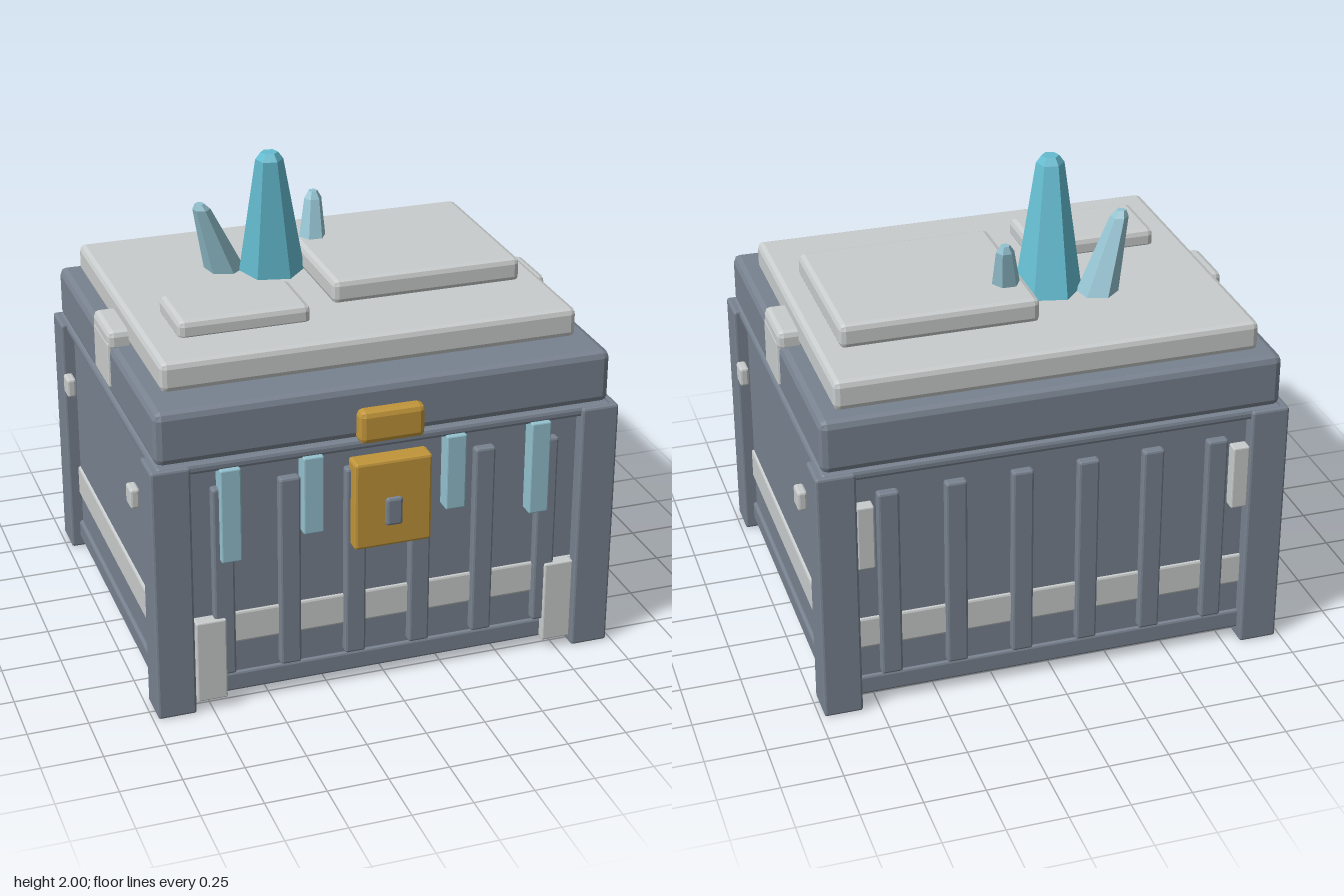
import * as THREE from 'three';
import { RoundedBoxGeometry } from 'three/addons/geometries/RoundedBoxGeometry.js';

const material = (name, color) => {
  const m = new THREE.MeshStandardMaterial({ color, flatShading: true });
  m.name = name;
  return m;
};

export function createModel() {
  const stone = material('slate grey', 0x78828f);
  const snow = material('snow grey', 0xc9cccc);
  const gold = material('gold', 0xc0953a);
  const crystal = material('bright crystal blue', 0x64bcd0);
  const ice = material('pale ice blue', 0x93c1cf);

  const model = new THREE.Group();
  model.name = 'frozenChest';

  // Chamfered box given by its [min, max] extents
  const box = (name, mat, [x0, x1], [y0, y1], [z0, z1], bevel = 0.01) => {
    const geometry = new RoundedBoxGeometry(x1 - x0, y1 - y0, z1 - z0, 1, bevel);
    geometry.computeVertexNormals();
    const mesh = new THREE.Mesh(geometry, mat);
    mesh.position.set((x0 + x1) / 2, (y0 + y1) / 2, (z0 + z1) / 2);
    mesh.name = name;
    model.add(mesh);
    return mesh;
  };
  const span = (c, size) => [c - size / 2, c + size / 2];

  // Faceted shard lofted through rings of [x, y, z, radius]
  const shard = (name, mat, rings, turn = 0, sides = 6) => {
    const positions = [], index = [];
    for (const [x, y, z, r] of rings) {
      for (let i = 0; i < sides; i++) {
        const a = turn + (i / sides) * Math.PI * 2;
        positions.push(x + Math.sin(a) * r, y, z + Math.cos(a) * r);
      }
    }
    for (let k = 0; k < rings.length - 1; k++) {
      for (let i = 0; i < sides; i++) {
        const j = (i + 1) % sides;
        const a = k * sides + i, b = k * sides + j;
        index.push(a, b, b + sides, a, b + sides, a + sides);
      }
    }
    const top = (rings.length - 1) * sides;
    for (let i = 1; i < sides - 1; i++) {
      index.push(top, top + i, top + i + 1);
      index.push(0, i + 1, i);
    }
    let geometry = new THREE.BufferGeometry();
    geometry.setAttribute('position', new THREE.Float32BufferAttribute(positions, 3));
    geometry.setIndex(index);
    geometry = geometry.toNonIndexed();
    geometry.computeVertexNormals();
    const mesh = new THREE.Mesh(geometry, mat);
    mesh.name = name;
    model.add(mesh);
  };

  // Chest walls, base frame, frost band and top rim
  box('chestBody', stone, [-0.925, 0.925], [0.05, 1.09], [-0.8, 0.76]);
  box('baseFrame', stone, [-0.94, 0.94], [0.045, 0.13], [-0.815, 0.775]);
  box('frostBand', snow, [-0.935, 0.935], [0.265, 0.405], [-0.81, 0.77]);
  box('topRim', stone, [-0.955, 0.955], [1.06, 1.105], [-0.845, 0.805], 0.015);

  // Corner posts, mirrored frost patches and side studs
  for (const s of [-1, 1]) {
    for (const z of [-0.78, 0.74]) box('cornerPost', stone, span(s * 0.9, 0.16), [0, 1.1], span(z, 0.16));
    box('frontFrostPatch', snow, span(s * 0.75, 0.125), [0.045, 0.405], [0.75, 0.812], 0.006);
    box('backFrostPatch', snow, span(s * 0.785, 0.07), [0.66, 0.94], [-0.85, -0.79], 0.006);
    for (const z of [-0.575, 0.525]) box('sideStud', snow, span(s * 0.98, 0.04), [0.825, 0.91], span(z, 0.08));
  }

  // Vertical slats on front and back
  for (let i = 0; i < 6; i++) {
    const x = span((i - 2.5) * 0.275, 0.088);
    box('frontSlat', stone, x, [0.14, 0.98], [0.74, 0.797]);
    box('backSlat', stone, x, [0.14, 0.98], [-0.837, -0.78]);
  }

  // Icicles hanging from the front rim
  for (const [x, bottom] of [[-0.663, 0.665], [-0.325, 0.735], [0.275, 0.745], [0.64, 0.665]]) {
    box('icicle', ice, span(x, 0.084), [bottom, 1.07], [0.75, 0.825], 0.006);
  }

  // Lid with snow slabs
  box('lid', stone, [-0.95, 0.95], [1.1, 1.325], [-0.835, 0.785], 0.03);
  box('snowSlab', snow, [-0.873, 0.873], [1.325, 1.45], [-0.76, 0.61], 0.025);
  box('largeSnowPlate', snow, [-0.045, 0.777], [1.44, 1.545], [-0.485, 0.242], 0.025);
  box('smallSnowPlate', snow, [-0.737, -0.187], [1.43, 1.517], [0.072, 0.385], 0.025);

  // Snow drooping over each side of the lid
  for (const s of [-1, 1]) {
    box('sideSnowCap', snow, span(s * 0.9, 0.115), [1.3, 1.39], [-0.165, 0.105], 0.025);
    box('sideSnowDrip', snow, span(s * 0.93, 0.06), [1.14, 1.34], [-0.143, 0.095]);
  }

  // Lock plate, keyhole and hasp
  box('lockPlate', gold, [-0.163, 0.163], [0.64, 1.02], [0.76, 0.85], 0.012);
  box('keyhole', stone, [-0.036, 0.036], [0.735, 0.858], [0.83, 0.865], 0.012);
  box('hasp', gold, [-0.137, 0.137], [1.093, 1.233], [0.76, 0.837], 0.024);

  // Crystals growing from the lid
  shard('mainCrystal', crystal, [
    [-0.168, 1.44, -0.205, 0.14], [-0.2, 1.97, -0.122, 0.058], [-0.2, 2, -0.122, 0.036],
  ], 0.3);
  shard('leftCrystal', ice, [
    [-0.35, 1.44, -0.288, 0.088], [-0.463, 1.745, -0.23, 0.038], [-0.472, 1.77, -0.228, 0.02],
  ], 0.2);
  shard('rightCrystal', ice, [
    [0.03, 1.44, -0.265, 0.072], [0.057, 1.7, -0.332, 0.038], [0.059, 1.73, -0.338, 0.02],
  ], 0.5);

  return model;
}
